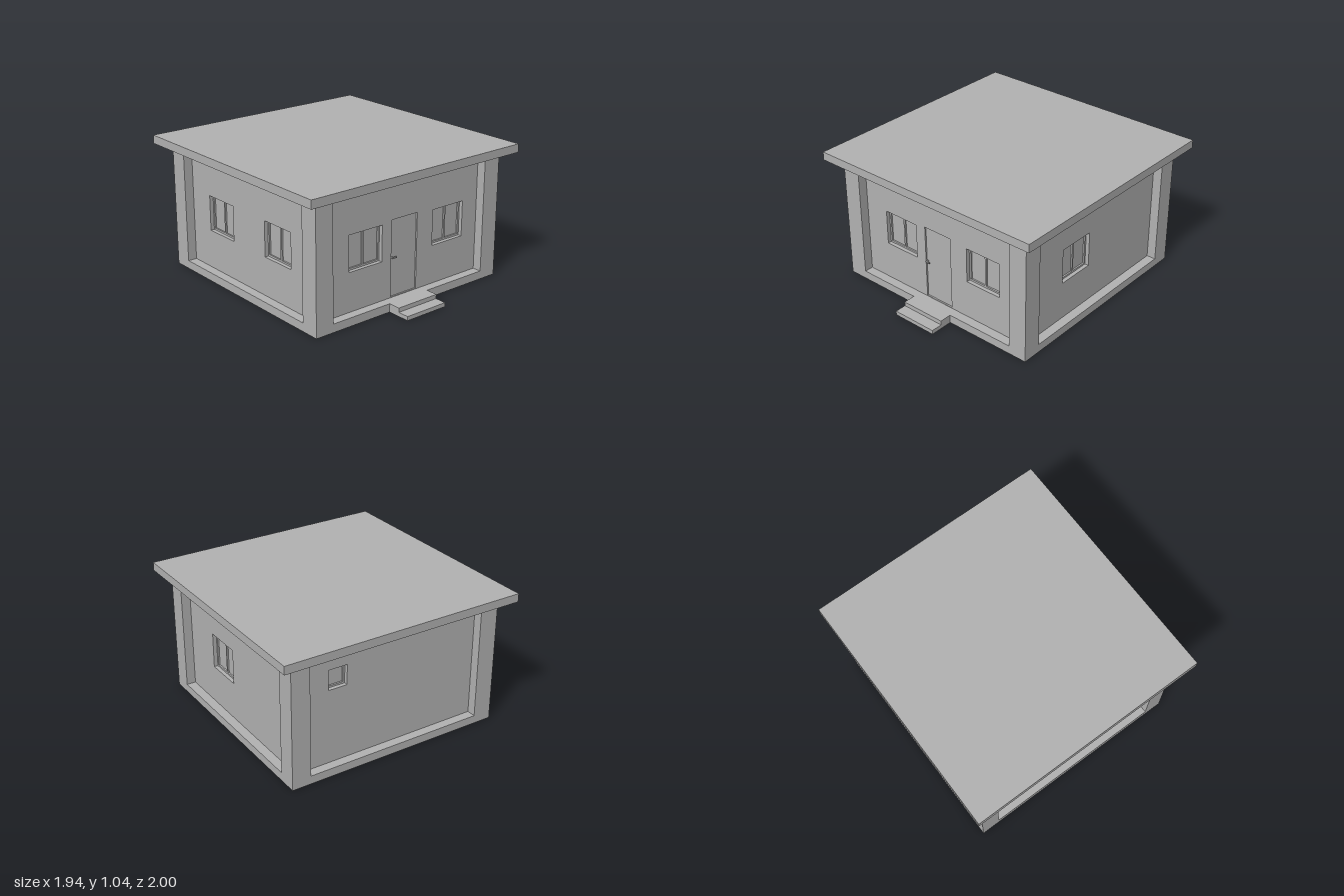
import * as THREE from 'three';

// Body footprint, plinth and roof levels
const X0 = -0.86, X1 = 0.87, Z0 = -0.91, Z1 = 0.815;
const PLINTH = 0.065, EAVES = 0.975, TOP = 1.04;
const PILLAR = 0.147, RECESS = 0.072, WALL = 0.05;

const plaster = new THREE.MeshStandardMaterial({ color: 0xb2b2b2 });
plaster.name = 'plain grey';

// Box given by its minimum and maximum corners
function box(name, x0, x1, y0, y1, z0, z1) {
  const mesh = new THREE.Mesh(new THREE.BoxGeometry(x1 - x0, y1 - y0, z1 - z0), plaster);
  mesh.position.set((x0 + x1) / 2, (y0 + y1) / 2, (z0 + z1) / 2);
  mesh.name = name;
  return mesh;
}

function trace(path, x0, x1, y0, y1) {
  path.moveTo(x0, y0);
  path.lineTo(x1, y0);
  path.lineTo(x1, y1);
  path.lineTo(x0, y1);
  path.closePath();
  return path;
}

// Flat rectangular plate with rectangular holes, each [x0, x1, y0, y1]
function plate(name, outer, holes, z0, depth) {
  const shape = trace(new THREE.Shape(), ...outer);
  for (const h of holes) shape.holes.push(trace(new THREE.Path(), ...h));
  const mesh = new THREE.Mesh(new THREE.ExtrudeGeometry(shape, { depth, bevelEnabled: false }), plaster);
  mesh.position.z = z0;
  mesh.name = name;
  return mesh;
}

// Window set back in its opening: frame with one or two panes
function makeWindow([x0, x1, y0, y1], panes) {
  const g = new THREE.Group();
  g.name = 'window';
  const b = 0.014, w = (x1 - x0 - b * (panes + 1)) / panes;
  const lights = [];
  for (let i = 0; i < panes; i++) {
    const a = x0 + b + i * (w + b);
    lights.push([a, a + w, y0 + b, y1 - b]);
  }
  g.add(plate('windowFrame', [x0, x1, y0, y1], lights, -0.05, 0.02));
  for (const l of lights) g.add(box('windowPane', ...l, -0.05, -0.042));
  return g;
}

// Recessed wall facing local +z, its outer surface at local z = 0
function makeWall(name, u0, u1, windows, door) {
  const g = new THREE.Group();
  g.name = name;
  const holes = windows.map(w => w.rect);
  if (door) holes.push(door);
  g.add(plate('wallPanel', [u0, u1, PLINTH, EAVES], holes, -WALL, WALL));
  for (const w of windows) g.add(makeWindow(w.rect, w.panes));
  if (door) {
    g.add(box('door', ...door, -WALL, -0.012));
    g.add(box('doorHandle', door[0] + 0.006, door[0] + 0.042, 0.367, 0.376, 0.004, 0.014));
    g.add(box('handleStem', door[0] + 0.006, door[0] + 0.015, 0.367, 0.376, -0.012, 0.004));
  }
  return g;
}

const wide = u => ({ rect: [u, u + 0.302, 0.365, 0.64], panes: 2 });

export function createModel() {
  const house = new THREE.Group();
  house.name = 'house';

  // Plinth, hidden core and flat overhanging roof
  house.add(box('plinth', X0, X1, 0, PLINTH, Z0, Z1));
  const inset = RECESS + WALL;
  house.add(box('core', X0 + inset, X1 - inset, PLINTH, EAVES, Z0 + inset, Z1 - inset));
  house.add(box('roofSlab', -0.97, 0.97, EAVES, TOP, -1, 0.91));

  // Corner pillars
  for (const x of [X0, X1 - PILLAR]) {
    for (const z of [Z0, Z1 - PILLAR]) {
      house.add(box('cornerPillar', x, x + PILLAR, PLINTH, EAVES, z, z + PILLAR));
    }
  }

  // Recessed walls
  const xa = X0 + PILLAR, xb = X1 - PILLAR, za = Z0 + PILLAR, zb = Z1 - PILLAR;
  const front = makeWall('frontWall', xa, xb, [wide(-0.515), wide(0.274)], [-0.125, 0.12, 0.07, 0.657]);
  front.position.z = Z1 - RECESS;

  const back = makeWall('backWall', -xb, -xa, [{ rect: [-0.535, -0.383, 0.645, 0.8], panes: 1 }]);
  back.rotation.y = Math.PI;
  back.position.z = Z0 + RECESS;

  const plusX = makeWall('leftWall', -zb, -za, [wide(-0.322)]);
  plusX.rotation.y = Math.PI / 2;
  plusX.position.x = X1 - RECESS;

  const minusX = makeWall('rightWall', za, zb, [wide(-0.54), wide(0.148)]);
  minusX.rotation.y = -Math.PI / 2;
  minusX.position.x = X0 + RECESS;
  house.add(front, back, plusX, minusX);

  // Entrance steps
  house.add(box('upperStep', -0.197, 0.168, 0, PLINTH, Z1, 0.91));
  house.add(box('lowerStep', -0.197, 0.168, 0, 0.032, 0.91, 1));

  return house;
}
